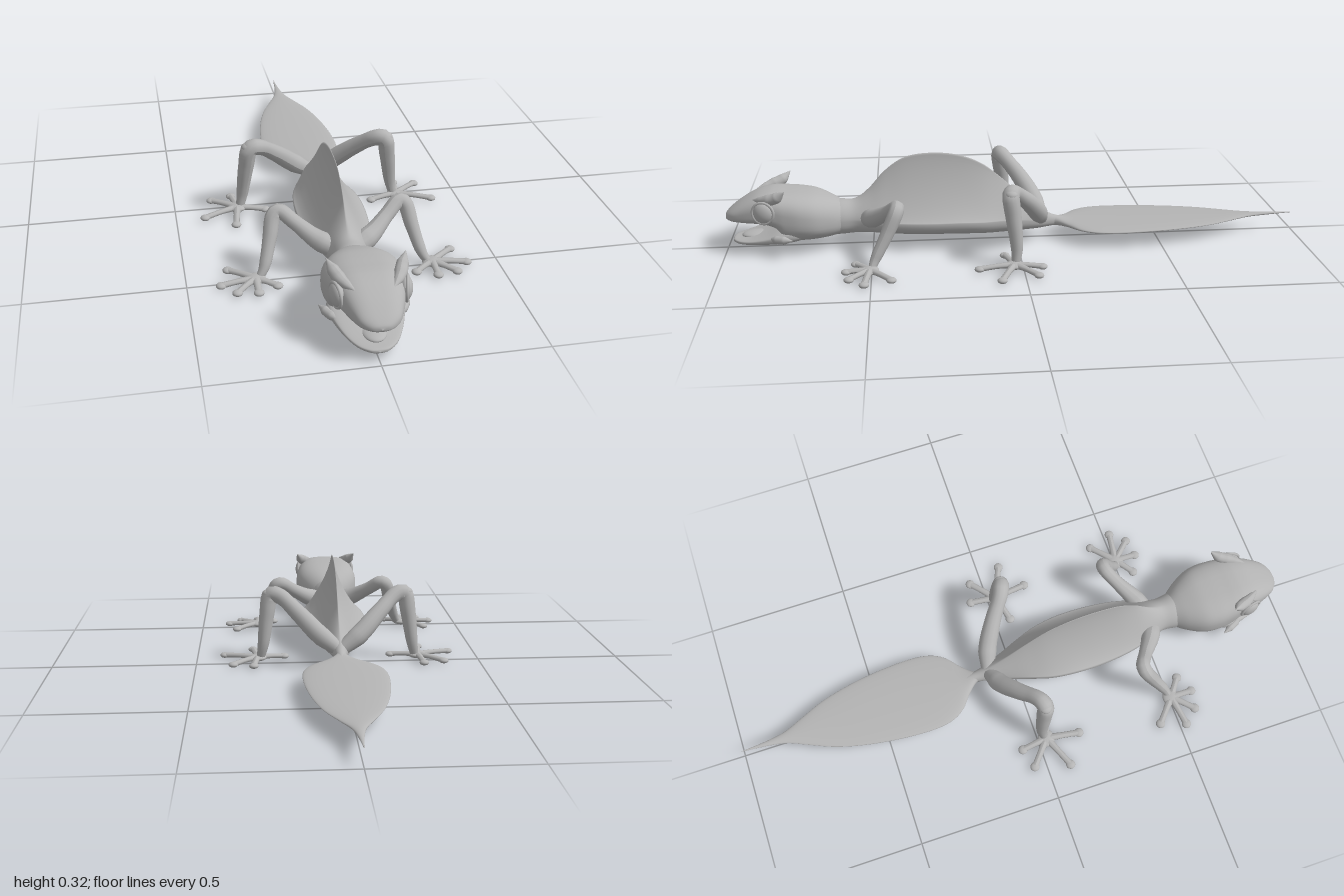
import * as THREE from 'three';

const skin = new THREE.MeshStandardMaterial({ color: 0xb4b4b4 });
skin.name = 'grey skin';

function add(parent, name, geometry) {
  const mesh = new THREE.Mesh(geometry, skin);
  mesh.name = name;
  parent.add(mesh);
  return mesh;
}

// Smooth loft through sections running from front to back.
// Section: [z, half width, bottom y, top y, height of widest point, top power, bottom power]
function loft(sections, steps = 6, around = 40) {
  const a = new THREE.CatmullRomCurve3(sections.map(s => new THREE.Vector3(s[1], s[2], s[3])), false, 'catmullrom', 0.5);
  const b = new THREE.CatmullRomCurve3(sections.map(s => new THREE.Vector3(s[0], s[4], s[5])), false, 'catmullrom', 0.5);
  const rows = (sections.length - 1) * steps;
  const pos = [], index = [];
  const power = (v, p) => Math.sign(v) * Math.pow(Math.abs(v), p);
  for (let i = 0; i <= rows; i++) {
    const t = i / rows, d = a.getPoint(t), e = b.getPoint(t);
    const low = sections[Math.round(t * (sections.length - 1))][6] ?? 0.8;
    for (let j = 0; j < around; j++) {
      const ang = j / around * Math.PI * 2, c = Math.cos(ang), s = Math.sin(ang);
      const p = s >= 0 ? e.z : low;
      const h = s >= 0 ? d.z - e.y : e.y - d.y;
      pos.push(Math.max(d.x, 0.0005) * power(c, p), e.y + Math.max(h, 0.0003) * power(s, p), e.x);
      if (i < rows) {
        const k = i * around + j, n = i * around + (j + 1) % around;
        index.push(k, k + around, n, n, k + around, n + around);
      }
    }
  }
  const g = new THREE.BufferGeometry();
  g.setAttribute('position', new THREE.Float32BufferAttribute(pos, 3));
  g.setIndex(index);
  g.computeVertexNormals();
  return g;
}

// Tube whose radius follows evenly spaced keys along its length
function taper(points, radii, flat = 1, segments = 28, sides = 14) {
  const curve = new THREE.CatmullRomCurve3(points.map(p => new THREE.Vector3(...p)));
  const g = new THREE.TubeGeometry(curve, segments, 1, sides, false);
  const pos = g.attributes.position, v = new THREE.Vector3();
  for (let i = 0; i <= segments; i++) {
    const u = i / segments, c = curve.getPointAt(u);
    const f = u * (radii.length - 1), k = Math.min(Math.floor(f), radii.length - 2);
    const r = Math.max(THREE.MathUtils.lerp(radii[k], radii[k + 1], f - k), 0.0005);
    for (let j = 0; j <= sides; j++) {
      const n = i * (sides + 1) + j;
      v.fromBufferAttribute(pos, n).sub(c).multiplyScalar(r);
      pos.setXYZ(n, c.x + v.x, c.y + v.y * flat, c.z + v.z);
    }
  }
  g.computeVertexNormals();
  return g;
}

function ball(parent, name, at, size) {
  const m = add(parent, name, new THREE.SphereGeometry(1, 24, 16));
  m.position.set(...at);
  m.scale.set(...size);
  return m;
}

function leg(parent, name, side, path, radii, palm, tips) {
  const g = new THREE.Group();
  g.name = name;
  parent.add(g);
  const flip = p => [p[0] * side, p[1], p[2]];
  add(g, 'limb', taper(path.map(flip), radii, 1, 44));
  ball(g, 'palm', flip([palm[0], 0.013, palm[1]]), [0.032, 0.012, 0.03]);
  // Splayed toes with round pads
  for (const [x, z] of tips) {
    const mx = (x + palm[0]) / 2, mz = (z + palm[1]) / 2;
    add(g, 'toe', taper([[palm[0], 0.014, palm[1]], [mx, 0.014, mz], [x, 0.01, z]].map(flip),
      [0.014, 0.0125, 0.011, 0.011, 0.012], 0.75, 10, 10));
    ball(g, 'toePad', flip([x, 0.0095, z]), [0.0165, 0.0095, 0.0165]);
  }
}

export function createModel() {
  const gecko = new THREE.Group();
  gecko.name = 'gecko';

  // Neck, high ridged back and hips
  add(gecko, 'body', loft([
    [0.70, 0.06, 0.05, 0.15, 0.10, 0.9],
    [0.62, 0.064, 0.043, 0.163, 0.10, 1.0],
    [0.56, 0.058, 0.046, 0.165, 0.10, 1.2],
    [0.51, 0.072, 0.048, 0.20, 0.10, 1.7],
    [0.45, 0.092, 0.046, 0.265, 0.10, 2.3],
    [0.38, 0.106, 0.044, 0.31, 0.10, 2.6],
    [0.29, 0.114, 0.042, 0.322, 0.10, 2.7],
    [0.20, 0.113, 0.04, 0.312, 0.10, 2.7],
    [0.12, 0.102, 0.036, 0.28, 0.095, 2.5],
    [0.05, 0.08, 0.034, 0.225, 0.09, 2.2],
    [-0.02, 0.054, 0.034, 0.16, 0.08, 1.7],
    [-0.08, 0.034, 0.036, 0.112, 0.068, 1.3],
    [-0.13, 0.02, 0.042, 0.083, 0.06, 1],
    [-0.19, 0.012, 0.046, 0.068, 0.057, 1]
  ]));

  // Flat leaf-shaped tail
  add(gecko, 'tail', loft([
    [-0.10, 0.018, 0.045, 0.085, 0.06, 1, 1],
    [-0.14, 0.02, 0.042, 0.077, 0.058, 1, 1],
    [-0.18, 0.055, 0.042, 0.071, 0.056, 1, 1],
    [-0.22, 0.102, 0.042, 0.069, 0.055, 1, 1],
    [-0.27, 0.13, 0.042, 0.068, 0.055, 1, 1],
    [-0.34, 0.14, 0.042, 0.067, 0.055, 1, 1],
    [-0.45, 0.135, 0.043, 0.066, 0.055, 1, 1],
    [-0.57, 0.118, 0.044, 0.065, 0.055, 1, 1],
    [-0.68, 0.09, 0.046, 0.064, 0.055, 1, 1],
    [-0.77, 0.052, 0.048, 0.064, 0.056, 1, 1],
    [-0.84, 0.022, 0.05, 0.064, 0.057, 1, 1],
    [-0.91, 0.009, 0.053, 0.063, 0.058, 1, 1],
    [-1.0, 0.001, 0.058, 0.06, 0.059, 1, 1]
  ]));

  // Head
  const head = new THREE.Group();
  head.name = 'head';
  gecko.add(head);
  add(head, 'skull', loft([
    [1.0, 0.002, 0.118, 0.122, 0.12, 0.8],
    [0.994, 0.03, 0.11, 0.134, 0.12, 0.8],
    [0.972, 0.058, 0.105, 0.153, 0.125, 0.75],
    [0.935, 0.077, 0.102, 0.178, 0.13, 0.7],
    [0.89, 0.093, 0.10, 0.20, 0.135, 0.65],
    [0.85, 0.105, 0.095, 0.209, 0.135, 0.65],
    [0.82, 0.112, 0.08, 0.21, 0.13, 0.65],
    [0.79, 0.118, 0.04, 0.208, 0.12, 0.65],
    [0.74, 0.122, 0.036, 0.204, 0.115, 0.7],
    [0.69, 0.114, 0.038, 0.196, 0.11, 0.75],
    [0.64, 0.088, 0.042, 0.178, 0.105, 0.85],
    [0.60, 0.058, 0.05, 0.158, 0.10, 1]
  ]));
  add(head, 'lowerJaw', loft([
    [0.98, 0.002, 0.031, 0.034, 0.033, 0.6],
    [0.974, 0.028, 0.026, 0.04, 0.034, 0.6],
    [0.95, 0.056, 0.024, 0.043, 0.036, 0.6],
    [0.91, 0.08, 0.025, 0.05, 0.042, 0.6],
    [0.86, 0.1, 0.028, 0.065, 0.052, 0.6],
    [0.81, 0.113, 0.032, 0.085, 0.062, 0.6],
    [0.76, 0.11, 0.036, 0.1, 0.07, 0.7],
    [0.71, 0.08, 0.045, 0.09, 0.07, 0.8]
  ]));
  ball(head, 'tongue', [0, 0.046, 0.895], [0.038, 0.014, 0.055]);

  for (const s of [1, -1]) {
    // Eyes with raised rims, brow horns and cheek spikes
    const eye = new THREE.Group();
    eye.name = s > 0 ? 'leftEye' : 'rightEye';
    eye.position.set(s * 0.1, 0.157, 0.86);
    eye.rotation.y = s * (Math.PI / 2 - 0.25);
    head.add(eye);
    ball(eye, 'eyeball', [0, 0, 0], [0.035, 0.037, 0.021]);
    const rim = add(eye, 'eyeRim', new THREE.TorusGeometry(0.037, 0.005, 8, 32));
    rim.position.z = 0.004;
    add(head, 'browHorn', taper([[s * 0.055, 0.188, 0.9], [s * 0.085, 0.196, 0.85], [s * 0.1, 0.208, 0.815], [s * 0.117, 0.234, 0.785]],
      [0.002, 0.014, 0.02, 0.018, 0.001]));
    add(head, 'cheekSpike', taper([[s * 0.09, 0.06, 0.85], [s * 0.112, 0.062, 0.81], [s * 0.135, 0.066, 0.765]],
      [0.002, 0.014, 0.014, 0.001]));

    // Legs
    const label = s > 0 ? 'left' : 'right';
    leg(gecko, label + 'FrontLeg', s,
      [[0.03, 0.10, 0.52], [0.09, 0.125, 0.485], [0.15, 0.165, 0.44], [0.195, 0.195, 0.412], [0.212, 0.185, 0.415], [0.23, 0.12, 0.445], [0.255, 0.04, 0.487], [0.272, 0.012, 0.5]],
      [0.03, 0.034, 0.028, 0.024, 0.024, 0.025, 0.024, 0.021, 0.019, 0.012],
      [0.285, 0.505], [[0.365, 0.435], [0.395, 0.522], [0.35, 0.572], [0.285, 0.583], [0.222, 0.553]]);
    leg(gecko, label + 'RearLeg', s,
      [[0.01, 0.075, -0.09], [0.07, 0.12, -0.07], [0.14, 0.185, -0.025], [0.205, 0.237, 0.025], [0.235, 0.24, 0.037], [0.25, 0.17, 0.03], [0.265, 0.06, 0.02], [0.275, 0.012, 0.025]],
      [0.024, 0.033, 0.032, 0.029, 0.026, 0.029, 0.028, 0.025, 0.021, 0.014],
      [0.285, 0.03], [[0.298, -0.062], [0.37, -0.042], [0.402, 0.08], [0.302, 0.147], [0.19, 0.055]]);
    ball(gecko, label + 'Knee', [s * 0.238, 0.243, 0.036], [0.028, 0.018, 0.024]);
  }
  return gecko;
}
